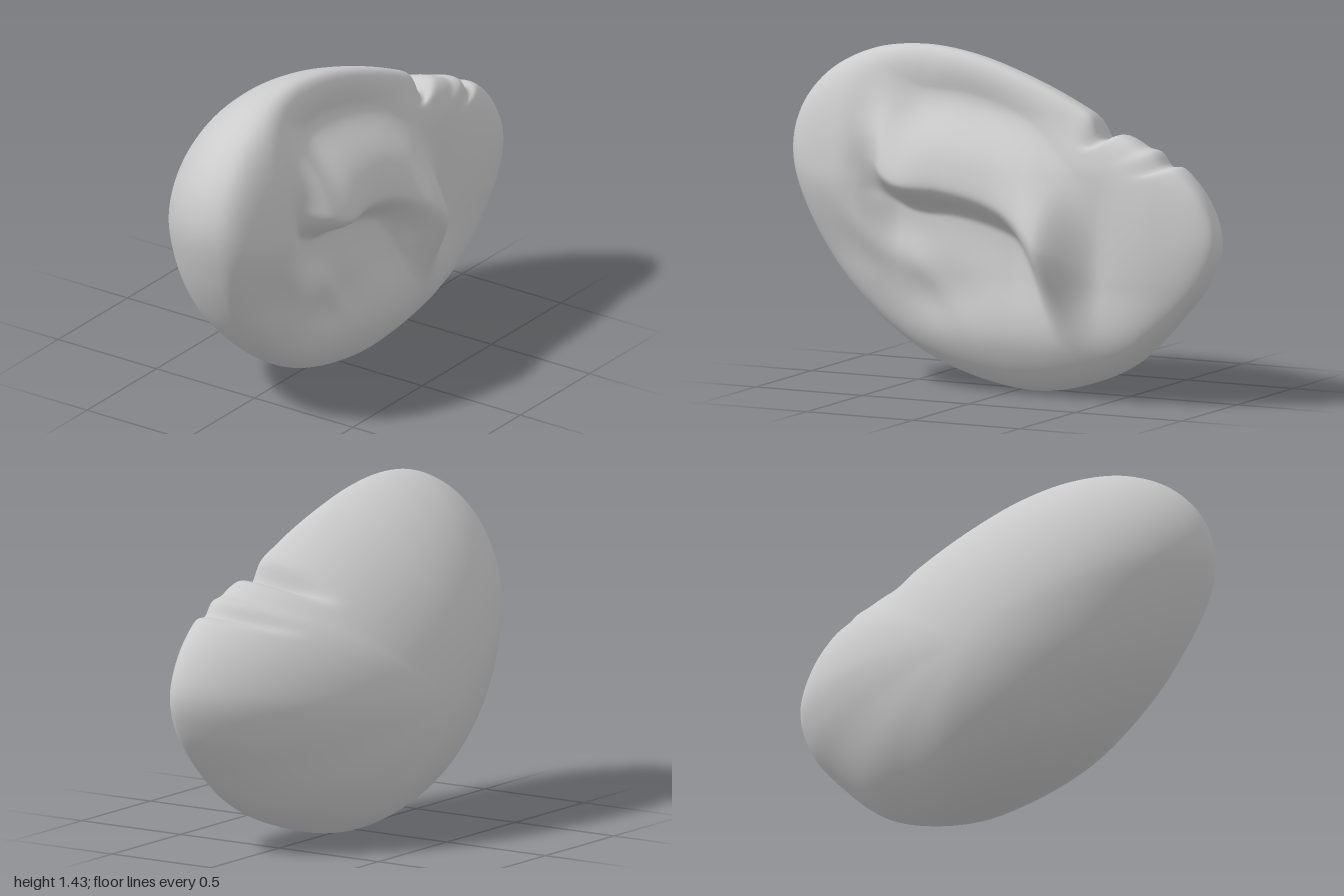
import * as THREE from 'three';

const { smoothstep, lerp } = THREE.MathUtils;
const gauss = (v, w) => Math.exp(-(v * v) / (w * w));

// Smooth cubic lookup through [position, value] pairs
function lookup(pairs, p) {
  const last = pairs.length - 1;
  if (p <= pairs[0][0]) return pairs[0][1];
  if (p >= pairs[last][0]) return pairs[last][1];
  const i = pairs.findIndex(([a]) => a > p);
  const slope = (k) => {
    const [a, va] = pairs[Math.max(0, k - 1)], [b, vb] = pairs[Math.min(last, k + 1)];
    return k === 0 || k === last ? 0 : (vb - va) / (b - a);
  };
  const [a, va] = pairs[i - 1], [b, vb] = pairs[i];
  const h = b - a, t = (p - a) / h, e = t * t * (3 - 2 * t);
  return lerp(va, vb, e) + h * t * (1 - t) * ((1 - t) * slope(i - 1) - t * slope(i));
}

// Side outline as [z, y], front over the top to the back and underneath
const OUTLINE = [
  [1, 0.97], [0.96, 1.15], [0.84, 1.3], [0.65, 1.4], [0.42, 1.432], [0.2, 1.41], [0, 1.357],
  [-0.2, 1.285], [-0.4, 1.195], [-0.56, 1.118], [-0.7, 1.07], [-0.82, 1.0], [-0.94, 0.87],
  [-1, 0.7], [-0.95, 0.53], [-0.8, 0.345], [-0.6, 0.165], [-0.4, 0.068], [-0.12, 0.002],
  [0.15, 0.032], [0.4, 0.125], [0.6, 0.265], [0.8, 0.475], [0.94, 0.73],
];
// Around the rim, by angle in degrees: sideways position, dome fullness, inner edge roundness
const RIM_X = [[-180, 0.17], [-110, 0.02], [-30, 0.06], [22, 0.11], [68, 0.1], [120, 0.13], [180, 0.17]];
const FULLNESS = [[-180, 1.25], [-140, 1.15], [-100, 1.05], [-20, 1.08], [40, 1.15], [90, 1.22], [180, 1.25]];
const ROUNDNESS = [[-180, 3], [-100, 2.3], [0, 3], [68, 2.6], [180, 3]];
// Inner ridge along z: height and how far it stands out
const CREST_Y = [[-0.45, 0.56], [-0.3, 0.64], [-0.15, 0.76], [0, 0.83], [0.2, 0.875], [0.4, 0.89], [0.6, 0.97]];
const CREST_X = [[-0.4, 0.42], [-0.27, 0.445], [-0.13, 0.39], [0, 0.365], [0.2, 0.385], [0.38, 0.425], [0.6, 0.39]];
const SWELL_Y = [[0.1, 0.32], [0.35, 0.53], [0.55, 0.61], [0.8, 0.76]];

// Height of the sculpted inner face
function innerHeight(z, y) {
  const below = y - lookup(CREST_Y, z);
  const front = smoothstep(z, 0.35, 0.75);
  let x = 0.285 + front * lerp(-0.02, 0.06, smoothstep(y, 0.5, 0.9));
  x += 0.022 * (1 - smoothstep(z, -0.75, -0.5));                                 // back rim
  x -= 0.05 * smoothstep(y, 0.95, 1.2) * smoothstep(z, -0.6, -0.3) * (1 - front); // top rim
  x += 0.035 * (1 - smoothstep(y, 0.2, 0.5)) * (1 - smoothstep(z, -0.1, 0.5));   // lower rim
  x -= 0.065 * gauss(below - 0.33, 0.13) * gauss(z - 0.15, 0.38);                // upper hollow
  x -= 0.035 * gauss(z - 0.28, 0.2) * gauss(y - 0.4, 0.13);                      // lower hollow
  // Ridge: long slope above, steep drop below
  const span = smoothstep(z, -0.49, -0.26) * (1 - smoothstep(z, 0.48, 0.66));
  const drop = lerp(0.42, 0.15, smoothstep(z, -0.35, -0.05));
  const t = Math.max(0, 1 - below / 0.38);
  const side = below > 0 ? 1 - (1 - t ** 1.5) ** 1.5 : smoothstep(below, -drop, 0);
  x += span * (lookup(CREST_X, z) - x) * side;
  // Groove under the ridge, curling up at its front end
  const cave = smoothstep(z, -0.32, -0.05) * (1 - smoothstep(z, 0.46, 0.64));
  x -= 0.065 * cave * gauss(below + 0.14, below < -0.14 ? 0.26 : 0.08);
  x -= 0.045 * gauss(z - 0.57, 0.07) * gauss(y - 0.93, 0.12);
  // Low swell at the front and shallow dip behind the ridge
  x += 0.024 * gauss(y - lookup(SWELL_Y, z), 0.09) * smoothstep(z, 0.1, 0.35) * (1 - smoothstep(z, 0.55, 0.8));
  x -= 0.02 * gauss(z + 0.45, 0.1) * gauss(y - 0.65, 0.25);
  return x;
}

// Closed shell swept from the outer pole, over the rim, to the inner pole
function shellGeometry() {
  const around = 320, outerRings = 60, innerRings = 110;
  const curve = new THREE.CatmullRomCurve3(OUTLINE.map(([z, y]) => new THREE.Vector3(0, y, z)), true);
  const rim = curve.getSpacedPoints(around).slice(0, around);
  const pos = [], index = [];
  const total = outerRings + innerRings;
  for (let j = 0; j <= total; j++) {
    const outer = j <= outerRings;
    const t = outer ? j / outerRings : (total - j) / innerRings;
    const s = Math.sin(t * Math.PI / 2);
    const cz = outer ? 0.14 : 0.1, cy = outer ? 0.57 : 0.6;
    for (const p of rim) {
      const angle = THREE.MathUtils.radToDeg(Math.atan2(p.y - 0.6, p.z - 0.1));
      const rimX = lookup(RIM_X, angle);
      let z = cz + (p.z - cz) * s, y = cy + (p.y - cy) * s;
      // Creases across the upper back edge, fading away from the rim
      if (p.y > 0.9) {
        const fade = outer ? smoothstep(s, 0.76, 1) : smoothstep(s, 0.8, 1);
        const cut = 0.07 * gauss(p.z + 0.465, 0.045) + 0.035 * gauss(p.z + 0.76, 0.035)
          + 0.012 * gauss(p.z + 0.65, 0.04);
        y -= cut * fade;
        z += cut * fade * 0.3;
      }
      const n = lookup(ROUNDNESS, angle);
      const x = outer
        ? lerp(rimX, -0.44, Math.max(0, Math.cos(t * Math.PI / 2)) ** lookup(FULLNESS, angle))
        : lerp(rimX, innerHeight(z, y), Math.max(0, 1 - s ** n) ** (1 / n));
      pos.push(x, y, z);
    }
  }
  for (let j = 0; j < total; j++) {
    for (let i = 0; i < around; i++) {
      const k = (i + 1) % around;
      const a = j * around + i, b = j * around + k;
      const c = a + around, d = b + around;
      if (j < total - 1) index.push(a, c, d);
      if (j > 0) index.push(a, d, b);
    }
  }
  const geometry = new THREE.BufferGeometry();
  geometry.setAttribute('position', new THREE.Float32BufferAttribute(pos, 3));
  geometry.setIndex(index);
  geometry.computeVertexNormals();
  // All points of the outer pole share one normal; the inner pole follows its last ring
  const normal = geometry.attributes.normal;
  for (let i = 0; i < around; i++) {
    normal.setXYZ(i, -1, 0, 0);
    normal.copyAt(total * around + i, normal, (total - 1) * around + i);
  }
  return geometry;
}

export function createModel() {
  const group = new THREE.Group();
  group.name = 'foldedHalfShell';
  const gray = new THREE.MeshStandardMaterial({ color: 0xcccccc });
  gray.name = 'stoneGray';
  const shell = new THREE.Mesh(shellGeometry(), gray);
  shell.name = 'shell';
  group.add(shell);
  return group;
}
